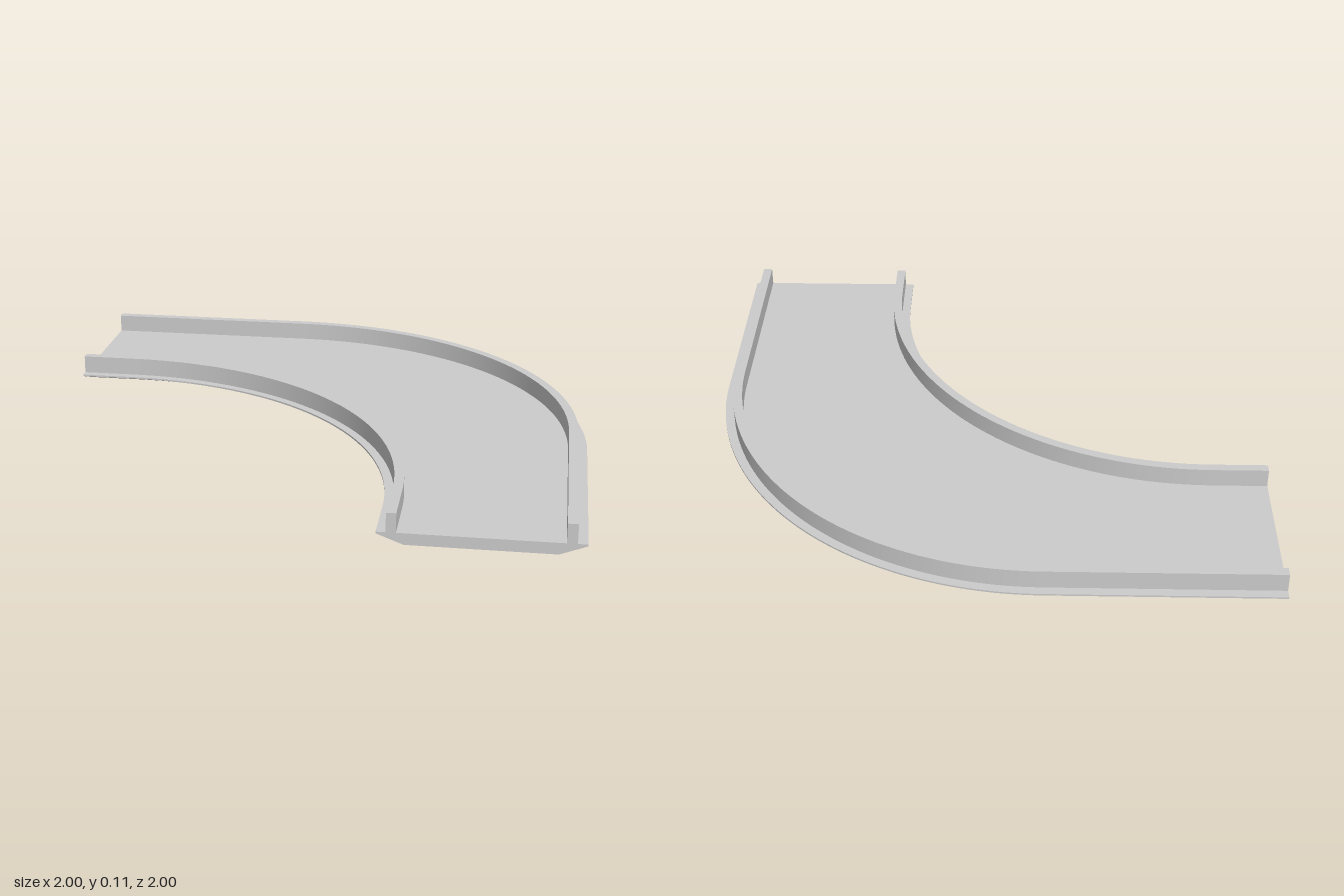
import * as THREE from 'three';
import { toCreasedNormals } from 'three/addons/utils/BufferGeometryUtils.js';

const ARC_STEPS = 48;

// Edge curves: straight run, quarter arc, straight run. "sign" moves an inset towards the floor.
const OUTER = { c: -0.2, r: 1.2, sign: -1 };
const INNER = { c: -0.8, r: 1.135, sign: 1 };

// Point at station k on a curve inset from its edge, at height y
function pointAt([edge, inset, y], k) {
  const r = edge.r + edge.sign * inset;
  if (k === 0) return [-1, y, -edge.c - r];
  if (k === ARC_STEPS + 2) return [edge.c + r, y, 1];
  const a = ((k - 1) / ARC_STEPS) * Math.PI / 2;
  return [edge.c + r * Math.sin(a), y, -edge.c - r * Math.cos(a)];
}

// Sweep a convex profile of [edge, inset, height] around the bend and cap both ends
function sweep(name, profile, material) {
  const pos = [];
  const n = profile.length;
  const last = ARC_STEPS + 2;
  const tri = (...points) => points.forEach((p) => pos.push(...p));
  for (let k = 0; k < last; k++) {
    for (let j = 0; j < n; j++) {
      const p = profile[j], q = profile[(j + 1) % n];
      const a = pointAt(p, k), b = pointAt(q, k);
      const c = pointAt(p, k + 1), d = pointAt(q, k + 1);
      tri(a, b, c);
      tri(b, d, c);
    }
  }
  for (let i = 1; i < n - 1; i++) {
    tri(pointAt(profile[0], 0), pointAt(profile[i + 1], 0), pointAt(profile[i], 0));
    tri(pointAt(profile[0], last), pointAt(profile[i], last), pointAt(profile[i + 1], last));
  }
  const geometry = new THREE.BufferGeometry();
  geometry.setAttribute('position', new THREE.Float32BufferAttribute(pos, 3));
  const mesh = new THREE.Mesh(toCreasedNormals(geometry, 0.25), material);
  mesh.name = name;
  return mesh;
}

export function createModel() {
  const group = new THREE.Group();
  group.name = 'curvedTrack';
  const grey = new THREE.MeshStandardMaterial({ color: 0xcccccc });

  // Flat deck with a thin lip and a bevelled underside
  group.add(sweep('deck', [
    [OUTER, 0, 0.04], [INNER, 0, 0.04], [INNER, 0, 0.034],
    [INNER, 0.09, 0], [OUTER, 0.09, 0], [OUTER, 0, 0.034],
  ], grey));

  // Upright guard rails, set in a little from both edges
  const top = 0.107, foot = 0.035;
  group.add(sweep('outerRail', [
    [OUTER, 0.033, top], [OUTER, 0.067, top], [OUTER, 0.067, foot], [OUTER, 0.033, foot],
  ], grey));
  group.add(sweep('innerRail', [
    [INNER, 0.065, top], [INNER, 0.032, top], [INNER, 0.032, foot], [INNER, 0.065, foot],
  ], grey));
  return group;
}
